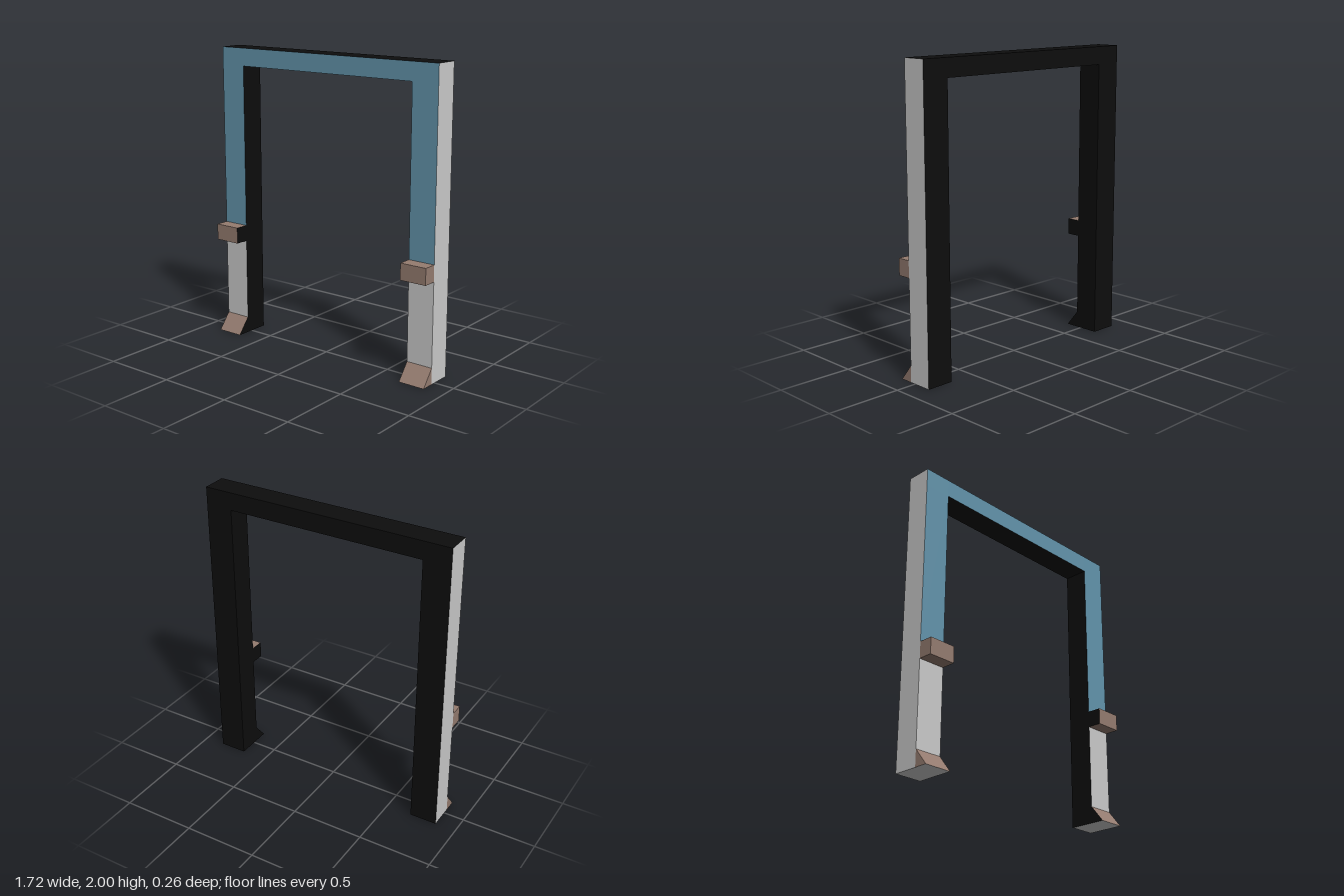
import * as THREE from 'three';

const material = (color) => new THREE.MeshStandardMaterial({ color });
const grey = material(0xcccccc);
const blue = material(0x6395ad);
const brown = material(0x957c70);
const black = material(0x0d0d0d);

// Order of the six sides in BoxGeometry
const SIDES = ['right', 'left', 'top', 'bottom', 'front', 'back'];

// Box between two corners; only the listed sides are made, each in its own colour.
// "wedge" pulls the top front edge back to make a ramp.
function part(name, [x0, y0, z0], [x1, y1, z1], paint, wedge = false) {
  const group = new THREE.Group();
  group.name = name;
  const box = new THREE.BoxGeometry(x1 - x0, y1 - y0, z1 - z0);
  box.translate((x0 + x1) / 2, (y0 + y1) / 2, (z0 + z1) / 2);
  if (wedge) {
    const p = box.attributes.position;
    for (let i = 0; i < p.count; i++) {
      if (p.getY(i) > (y0 + y1) / 2) p.setZ(i, z0);
    }
  }
  const all = Array.from(box.index.array);
  for (const mat of new Set(Object.values(paint))) {
    const index = SIDES.flatMap((s, i) => (paint[s] === mat ? all.slice(i * 6, i * 6 + 6) : []));
    const kept = box.clone();
    kept.clearGroups();
    kept.setIndex(index);
    const geometry = kept.toNonIndexed();
    geometry.computeVertexNormals();
    const mesh = new THREE.Mesh(geometry, mat);
    mesh.name = name + 'Faces';
    group.add(mesh);
  }
  return group;
}

export function createModel() {
  const model = new THREE.Group();
  model.name = 'doorFrame';

  const outer = 0.86, inner = 0.675;
  const back = -0.13, face = 0.037;
  const top = 2, lintel = 1.88, blockLow = 0.67, blockHigh = 0.78;

  for (const side of [-1, 1]) {
    const x0 = side > 0 ? inner : -outer;
    const x1 = side > 0 ? outer : -inner;
    const out = side > 0 ? 'right' : 'left';
    const inn = side > 0 ? 'left' : 'right';
    const word = side > 0 ? 'left' : 'right';

    // Post: grey foot, blue shaft, and the corner beside the lintel
    model.add(
      part(word + 'LowerPost', [x0, 0, back], [x1, blockHigh, face],
        { [out]: grey, [inn]: black, bottom: grey, front: grey, back: black }),
      part(word + 'UpperPost', [x0, blockHigh, back], [x1, lintel, face],
        { [out]: grey, [inn]: black, front: blue, back: black }),
      part(word + 'Corner', [x0, lintel, back], [x1, top, face],
        { [out]: grey, top: black, front: blue, back: black }),
    );

    // Projecting block and sloped foot
    model.add(
      part(word + 'Block', [x0, blockLow, face], [x1, blockHigh, 0.13],
        { [out]: brown, top: brown, bottom: brown, front: brown, [inn]: black }),
      part(word + 'FootWedge', [x0, 0, face], [x1, 0.11, 0.125],
        { [out]: brown, front: brown, bottom: grey, [inn]: black }, true),
    );
  }

  // Lintel across the opening
  model.add(part('lintel', [-inner, lintel, back], [inner, top, face],
    { top: black, bottom: black, front: blue, back: black }));

  return model;
}
